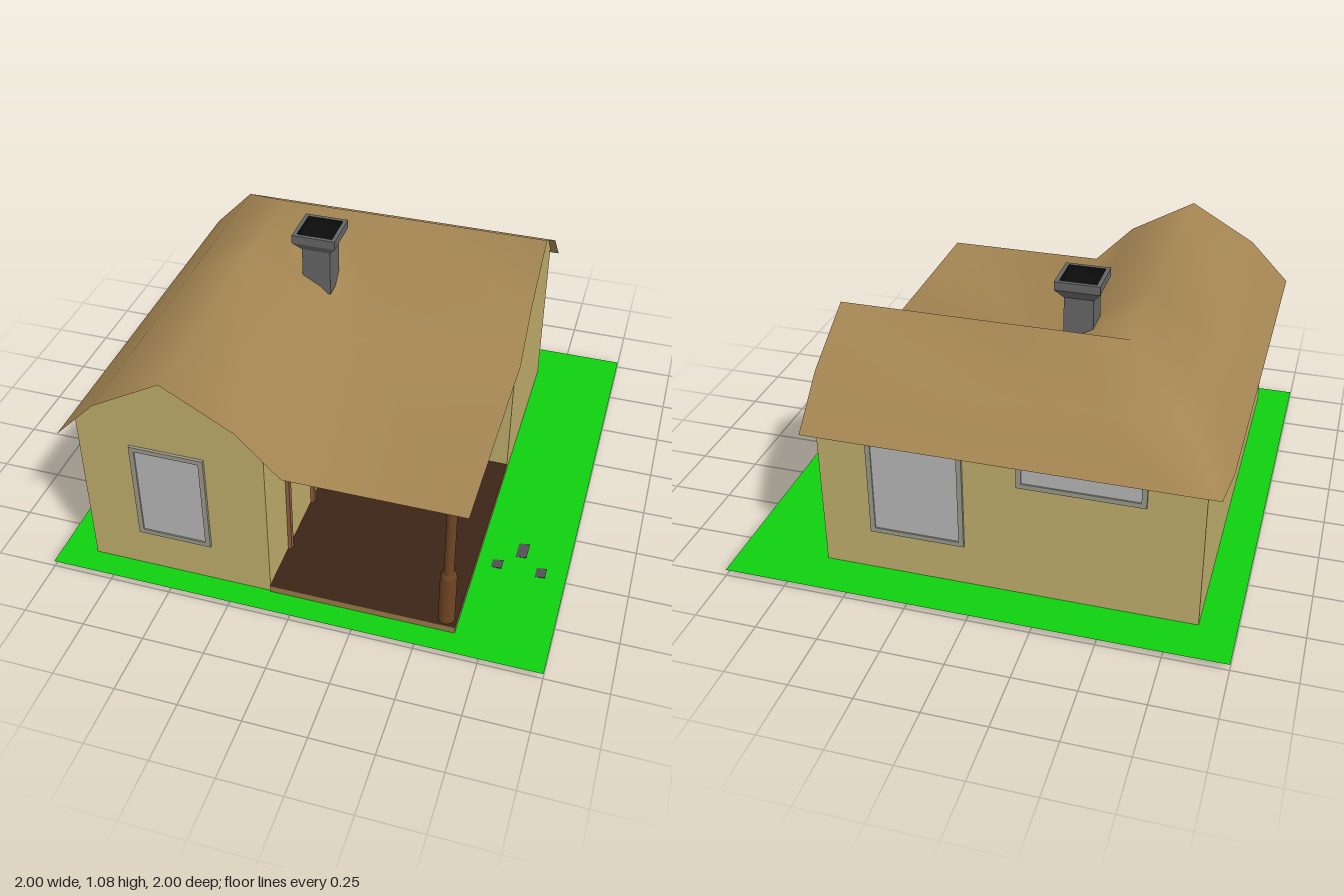
import * as THREE from 'three';

const mat = (color, opts = {}) => new THREE.MeshStandardMaterial({ color, ...opts });
const WALL = mat(0xbfad6c, { side: THREE.DoubleSide });
const ROOF = mat(0xa48552, { side: THREE.DoubleSide });
const GRASS = mat(0x0ed00e, { side: THREE.DoubleSide });
const GLASS = mat(0xb6b6b6);
const FRAME = mat(0x9b998a);
const DOOR = mat(0x8f5f40);
const WOOD = mat(0x6e4523);
const PLANK = mat(0x9a7a48);
const FLOOR = mat(0x3c2517);
const STONE = mat(0x666666, { flatShading: true });
const SOOT = mat(0x0c0c0c, { side: THREE.DoubleSide });
const ROCK = mat(0x555055, { flatShading: true });

function add(parent, name, geometry, material, x = 0, y = 0, z = 0) {
  const mesh = new THREE.Mesh(geometry, material);
  mesh.name = name;
  mesh.position.set(x, y, z);
  parent.add(mesh);
  return mesh;
}

const polygon = (pts) => new THREE.Shape(pts.map(([x, y]) => new THREE.Vector2(x, y)));

// Gambrel roof: both wings share one height profile along x and z
const ROOF_X = [-0.93, -0.76, -0.48, -0.2, -0.03, 0.67];
const ROOF_Z = [-0.9, -0.72, -0.445, -0.17, 0, 0.925];
const ROOF_H = [0.655, 0.83, 0.99, 0.83, 0.655, 0.655];

function roofHeight(i, j) {
  if (i >= 2 && j >= 2) return Math.max(ROOF_H[i], ROOF_H[j]); // valley and flat porch cover
  if (i <= 2 && j <= 2) return Math.min(ROOF_H[i], ROOF_H[j]); // hipped corner
  return i < 2 ? ROOF_H[i] : ROOF_H[j];
}

function roofGeometry() {
  const n = ROOF_X.length, pos = [], index = [];
  for (let j = 0; j < n; j++) {
    for (let i = 0; i < n; i++) {
      if (i + j === 0) pos.push(-0.91, 0.635, -0.87); // drooping clipped corner
      else pos.push(ROOF_X[i], roofHeight(i, j), ROOF_Z[j]);
      if (i < n - 1 && j < n - 1) {
        const a = j * n + i, b = a + 1, c = a + n, d = c + 1;
        index.push(a, c, d, a, d, b);
      }
    }
  }
  const g = new THREE.BufferGeometry();
  g.setAttribute('position', new THREE.Float32BufferAttribute(pos, 3));
  g.setIndex(index);
  g.computeVertexNormals();
  return g;
}

// Gable end under the roof, centred on its ridge
function gableGeometry() {
  return new THREE.ShapeGeometry(polygon([
    [-0.375, 0.69], [0.375, 0.69], [0.375, 0.725], [0.278, 0.826],
    [0, 0.985], [-0.278, 0.826], [-0.375, 0.725],
  ]));
}

// Rectangular surround with an opening; b is the border width
function surround(w, h, b, depth) {
  const x = w / 2, y = h / 2;
  const shape = polygon([[-x, -y], [x, -y], [x, y], [-x, y]]);
  shape.holes.push(polygon([[-x + b, -y + b], [-x + b, y - b], [x - b, y - b], [x - b, -y + b]]));
  return new THREE.ExtrudeGeometry(shape, { depth, bevelEnabled: false });
}

function addWindow(parent, name, w, h, x, y, z, turn) {
  const g = new THREE.Group();
  g.name = name;
  add(g, 'windowFrame', surround(w, h, 0.02, 0.012), FRAME);
  add(g, 'windowPane', new THREE.BoxGeometry(w - 0.04, h - 0.04, 0.012), GLASS);
  g.position.set(x, y, z);
  g.rotation.y = turn;
  parent.add(g);
}

export function createModel() {
  const house = new THREE.Group();
  house.name = 'cottage';

  add(house, 'lawn', new THREE.PlaneGeometry(2, 2).rotateX(-Math.PI / 2), GRASS, 0, 0.028, 0);

  // L-shaped walls
  const plan = polygon([
    [-0.855, 0.82], [-0.855, -0.9], [-0.105, -0.9], [-0.105, 0.07], [0.64, 0.07], [0.64, 0.82],
  ]);
  const walls = new THREE.ExtrudeGeometry(plan, { depth: 0.66, bevelEnabled: false });
  add(house, 'walls', walls.rotateX(-Math.PI / 2), WALL, 0, 0.03, 0);
  add(house, 'frontGable', gableGeometry(), WALL, -0.48, 0, 0.9);
  add(house, 'sideGable', gableGeometry().rotateY(Math.PI / 2), WALL, 0.64, 0, -0.445);

  add(house, 'roof', roofGeometry(), ROOF);

  // Windows
  const q = Math.PI / 2;
  addWindow(house, 'frontWindow', 0.3, 0.44, -0.493, 0.43, 0.9, 0);
  addWindow(house, 'porchWindow', 0.39, 0.44, 0.255, 0.43, -0.07, 0);
  addWindow(house, 'doorSideWindow', 0.24, 0.44, -0.105, 0.43, 0.165, q);
  addWindow(house, 'backWindow', 0.38, 0.44, 0.25, 0.43, -0.82, 2 * q);
  addWindow(house, 'backHighWindow', 0.49, 0.12, -0.395, 0.585, -0.82, 2 * q);
  addWindow(house, 'leftWindow', 0.39, 0.44, -0.855, 0.42, 0.225, -q);

  // Door surround, its foot hidden in the porch floor
  add(house, 'doorFrame', surround(0.31, 0.605, 0.024, 0.015).rotateY(q), DOOR, -0.105, 0.338, 0.535);

  // Porch
  add(house, 'porchBase', new THREE.BoxGeometry(0.745, 0.03, 0.975), PLANK, 0.2675, 0.045, 0.4175);
  add(house, 'porchFloor', new THREE.PlaneGeometry(0.745, 0.975).rotateX(-q), FLOOR, 0.2675, 0.0615, 0.4175);
  const post = [[0.033, 0.06], [0.033, 0.285], [0.028, 0.305], [0.02, 0.31], [0.02, 0.655]];
  add(house, 'porchPost', new THREE.LatheGeometry(post.map(([r, y]) => new THREE.Vector2(r, y)), 16),
    WOOD, 0.597, 0, 0.865);

  // Square chimney with a flared, hollow cap
  const square = (pts) => new THREE.LatheGeometry(
    pts.map(([half, y]) => new THREE.Vector2(half * Math.SQRT2, y)), 4, Math.PI / 4);
  const chimney = new THREE.Group();
  chimney.name = 'chimney';
  chimney.position.set(-0.22, 0, -0.132);
  add(chimney, 'chimneyStack', square([
    [0.06, 0.8], [0.06, 1.0], [0.092, 1.042], [0.092, 1.078], [0.075, 1.078],
  ]), STONE);
  add(chimney, 'chimneyFlue', square([[0.075, 1.078], [0.075, 1.04], [0, 1.04]]), SOOT);
  house.add(chimney);

  // Loose stones beside the porch
  const stones = [[0.722, 0.5, 0.045, 0.045], [0.807, 0.398, 0.045, 0.08], [0.9, 0.5, 0.042, 0.05]];
  stones.forEach(([x, z, w, d], i) => {
    const g = new THREE.CylinderGeometry(0.7, 0.4, 1, 4).rotateY(Math.PI / 4);
    const stone = add(house, 'stone' + (i + 1), g, ROCK, x, 0.0175, z);
    stone.scale.set(w, 0.028, d);
    stone.rotation.z = 0.15;
  });

  return house;
}
